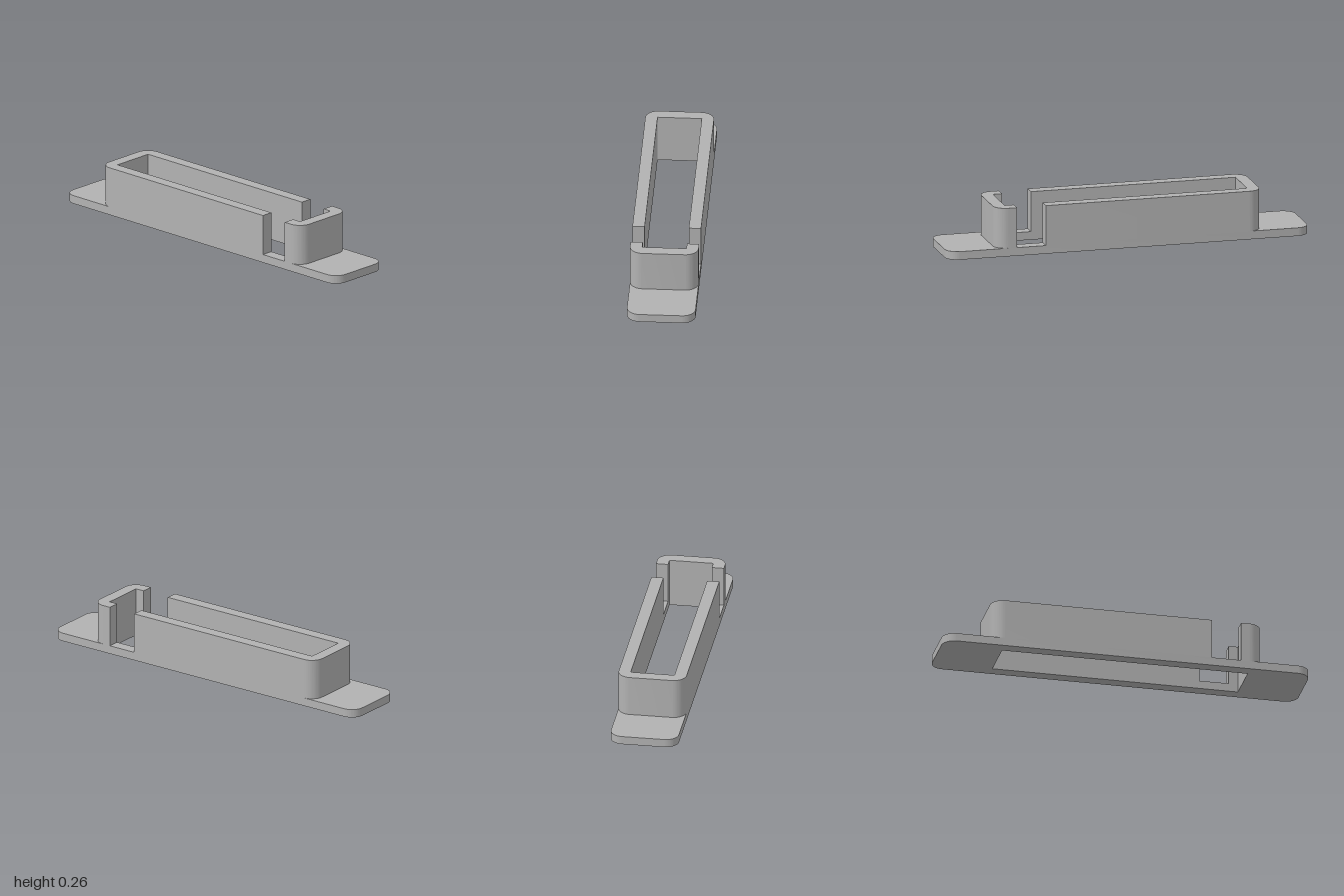
import * as THREE from 'three';
import { toCreasedNormals } from 'three/addons/utils/BufferGeometryUtils.js';

const HALF_W = 0.183, RADIUS = 0.07;
const SLOT_W = 0.118, SLOT_Z = 0.67;
const BASE_H = 0.045, TOP = 0.265, WALL_Z = 0.735;

// Extrudes a plan outline upward, keeping corners smooth and edges sharp
function raise(shape, y, height) {
  const geo = new THREE.ExtrudeGeometry(shape, { depth: height, bevelEnabled: false, curveSegments: 10 });
  geo.rotateX(-Math.PI / 2).translate(0, y, 0);
  return toCreasedNormals(geo, 0.6);
}

// Rounded far end of an outline, from the right edge round to the left
function roundedEnd(shape, end) {
  shape.lineTo(HALF_W, end - RADIUS);
  shape.absarc(HALF_W - RADIUS, end - RADIUS, RADIUS, 0, Math.PI / 2);
  shape.absarc(-HALF_W + RADIUS, end - RADIUS, RADIUS, Math.PI / 2, Math.PI);
}

// Plan of a U-shaped wall, open at one end
function wallShape(open) {
  const s = new THREE.Shape();
  s.moveTo(HALF_W, open);
  roundedEnd(s, WALL_Z);
  s.lineTo(-HALF_W, open);
  s.lineTo(-SLOT_W, open);
  s.lineTo(-SLOT_W, SLOT_Z);
  s.lineTo(SLOT_W, SLOT_Z);
  s.lineTo(SLOT_W, open);
  s.closePath();
  return s;
}

// Plan of the flange with its long slot
function baseShape() {
  const s = new THREE.Shape();
  s.moveTo(HALF_W, -1 + RADIUS);
  roundedEnd(s, 1);
  s.lineTo(-HALF_W, -1 + RADIUS);
  s.absarc(-HALF_W + RADIUS, -1 + RADIUS, RADIUS, Math.PI, Math.PI * 1.5);
  s.absarc(HALF_W - RADIUS, -1 + RADIUS, RADIUS, Math.PI * 1.5, Math.PI * 2);
  const slot = new THREE.Path();
  slot.moveTo(-SLOT_W, -SLOT_Z);
  slot.lineTo(-SLOT_W, SLOT_Z);
  slot.lineTo(SLOT_W, SLOT_Z);
  slot.lineTo(SLOT_W, -SLOT_Z);
  slot.closePath();
  s.holes.push(slot);
  return s;
}

export function createModel() {
  const grey = new THREE.MeshStandardMaterial({ color: 0xb2b2b2 });
  grey.name = 'grey plastic';
  const group = new THREE.Group();
  group.name = 'slottedHousing';

  const add = (name, geo) => {
    const mesh = new THREE.Mesh(geo, grey);
    mesh.name = name;
    group.add(mesh);
    return mesh;
  };

  add('baseFlange', raise(baseShape(), 0, BASE_H));
  // Long wall, open toward the front
  add('rearWall', raise(wallShape(-0.46), BASE_H, TOP - BASE_H));
  // Short end wall beyond the side gaps
  add('frontWall', raise(wallShape(0.62), BASE_H, TOP - BASE_H)).rotation.y = Math.PI;
  return group;
}
